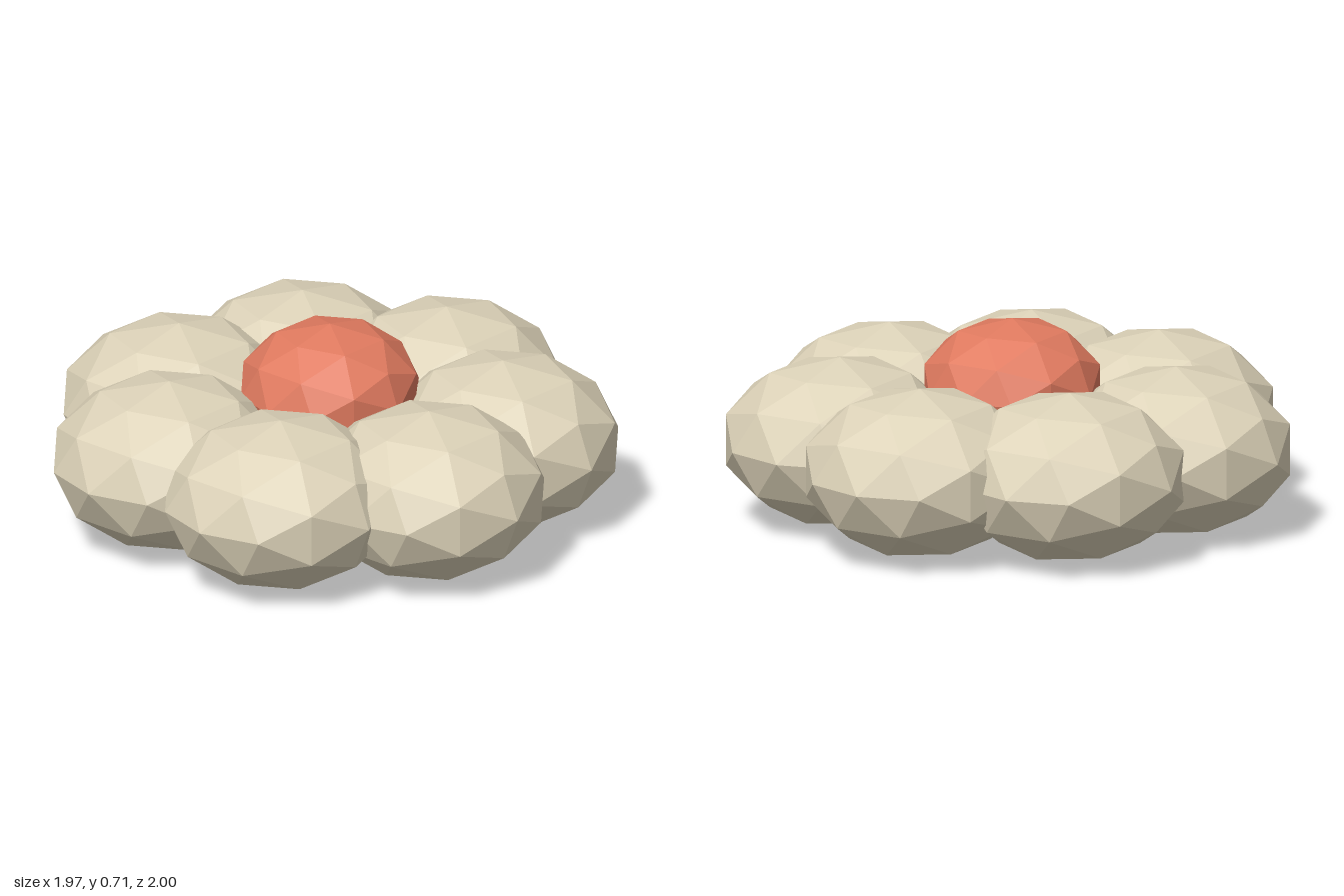
import * as THREE from 'three';

const PETALS = 7;
const RING_RADIUS = 0.6;
const CENTRE_X = -0.03;

export function createModel() {
  const flower = new THREE.Group();
  flower.name = 'flower';

  const cream = new THREE.MeshStandardMaterial({ color: 0xdcd2b8, flatShading: true });
  cream.name = 'cream';
  const coral = new THREE.MeshStandardMaterial({ color: 0xe07a5f, flatShading: true });
  coral.name = 'coral';

  // Faceted, flattened ball shared by all parts
  const ball = new THREE.IcosahedronGeometry(1, 1);
  const addBall = (name, material, width, height, x, y, z) => {
    const mesh = new THREE.Mesh(ball, material);
    mesh.name = name;
    mesh.scale.set(width, height, width);
    mesh.position.set(x, y, z);
    flower.add(mesh);
  };

  // Ring of petals, the first pointing to +x
  for (let i = 0; i < PETALS; i++) {
    const a = (i / PETALS) * Math.PI * 2;
    addBall(`petal${i + 1}`, cream, 0.415, 0.296,
      CENTRE_X + Math.cos(a) * RING_RADIUS, 0.296, Math.sin(a) * RING_RADIUS);
  }

  // Raised heart of the flower
  addBall('flowerCentre', coral, 0.32, 0.239, CENTRE_X, 0.475, 0);

  return flower;
}
